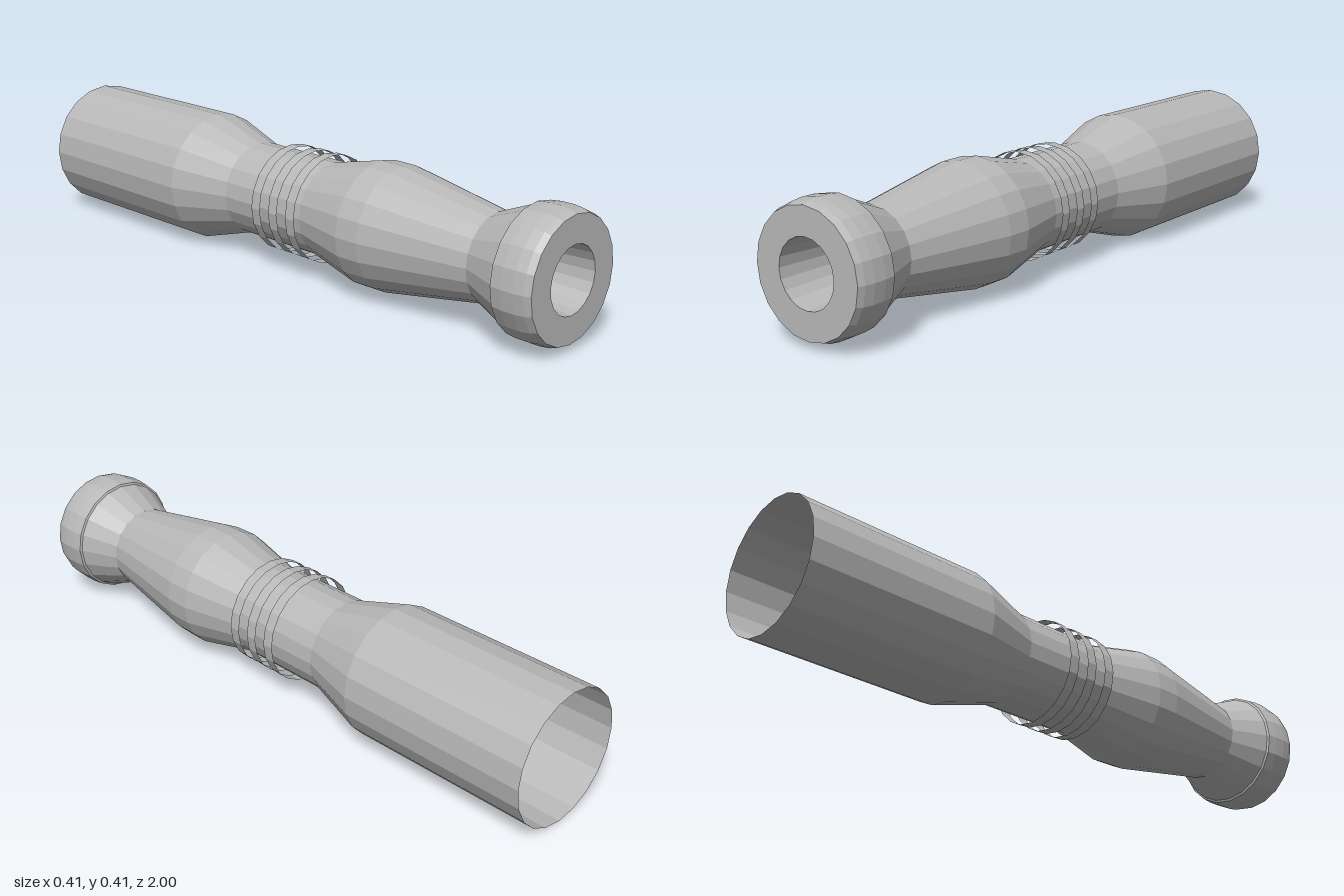
import * as THREE from 'three';

const SIDES = 20;
const RADIUS = 0.204;

export function createModel() {
  const group = new THREE.Group();
  group.name = 'turnedHandle';

  const grey = new THREE.MeshStandardMaterial({
    color: 0xb8b8b8, flatShading: true, side: THREE.DoubleSide,
  });
  grey.name = 'grey';

  // Turn a list of [radius, z] points about the long axis, with flat facets
  function turn(name, profile) {
    const points = profile.map(([r, z]) => new THREE.Vector2(r, z));
    const geometry = new THREE.LatheGeometry(points, SIDES).rotateX(Math.PI / 2).toNonIndexed();
    geometry.computeVertexNormals();
    const mesh = new THREE.Mesh(geometry, grey);
    mesh.name = name;
    mesh.position.y = RADIUS;
    group.add(mesh);
  }

  // Wide sleeve, open at the back, narrowing to the waist
  turn('sleeve', [[RADIUS, -1], [RADIUS, -0.385], [0.146, -0.19]]);

  // Waist and swelling grip
  turn('grip', [[0.146, -0.19], [0.146, 0.135], [0.189, 0.325], [0.188, 0.405], [0.13, 0.75]]);

  // Flared neck leading into the end knob
  turn('neck', [[0.13, 0.75], [0.18, 0.872]]);

  // Rounded knob with a flat end face
  turn('knob', [[0.18, 0.872], [0.187, 0.875], [0.191, 0.91], [0.191, 0.95], [0.187, 0.98],
    [0.18, 1], [0.098, 1]]);

  // Tapered blind bore in the end face
  turn('bore', [[0.098, 1], [0.078, 0.7], [0, 0.7]]);

  // Three thin open bands standing clear of the waist
  for (const z of [0.115, 0.042, -0.031]) {
    turn('band', [[0.167, z - 0.018], [0.167, z + 0.018]]);
  }

  return group;
}
